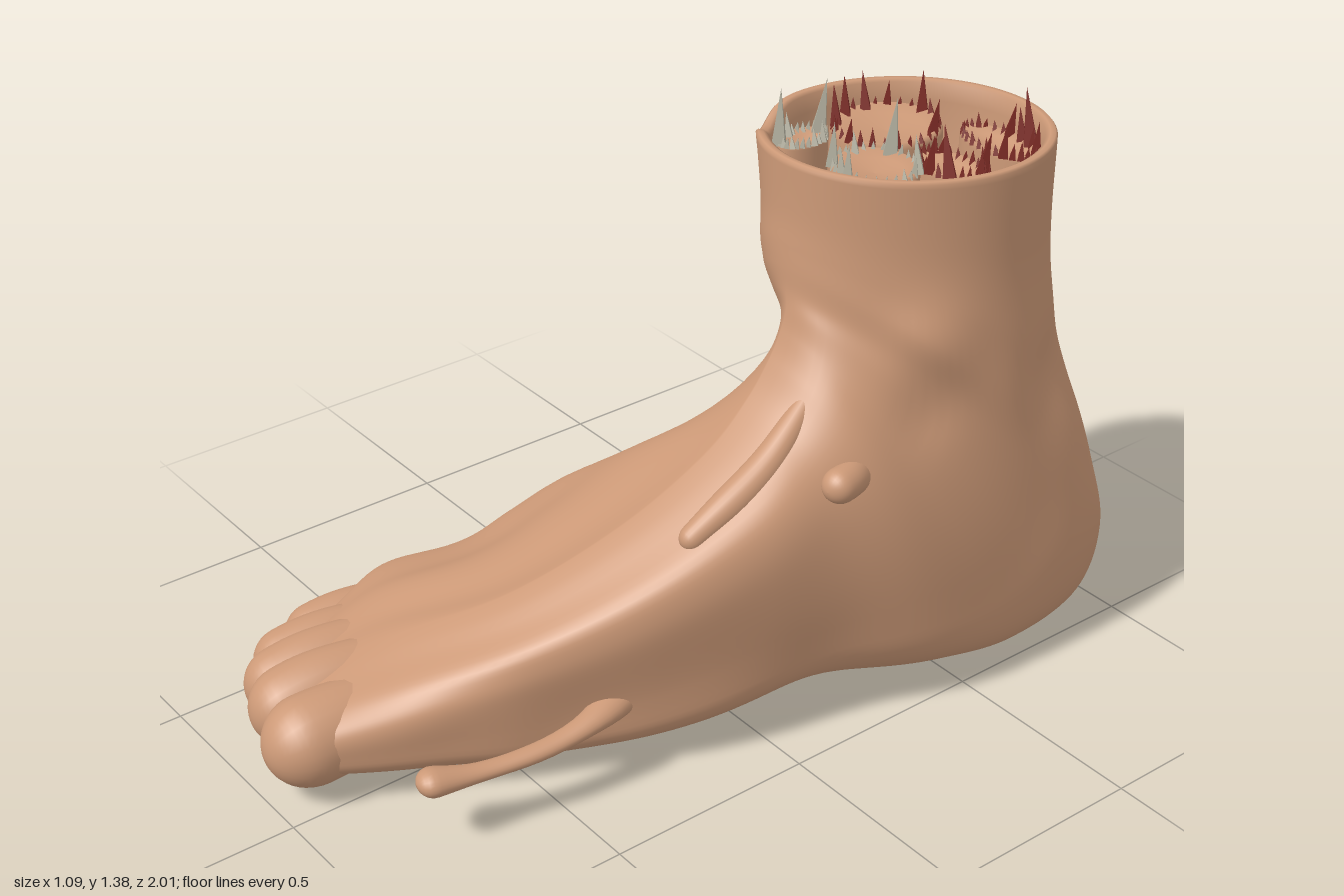
import * as THREE from 'three';
import { mergeGeometries } from 'three/addons/utils/BufferGeometryUtils.js';

const skin = new THREE.MeshStandardMaterial({ color: 0xcc9977 });
const red = new THREE.MeshStandardMaterial({ color: 0x7c2a24 });
const bone = new THREE.MeshStandardMaterial({ color: 0xb8b5a4 });
const V = (x, y, z) => new THREE.Vector3(x, y, z);
const { lerp, smoothstep } = THREE.MathUtils;

// Skin a list of closed rings (equal point counts) with smooth normals
function loft(rings) {
  const n = rings[0].length, pos = [], idx = [];
  rings.forEach((ring) => ring.forEach((p) => pos.push(p.x, p.y, p.z)));
  for (let i = 0; i < rings.length - 1; i++) {
    for (let j = 0; j < n; j++) {
      const a = i * n + j, b = i * n + (j + 1) % n;
      idx.push(a, b, a + n, b, b + n, a + n);
    }
  }
  const geo = new THREE.BufferGeometry();
  geo.setAttribute('position', new THREE.Float32BufferAttribute(pos, 3));
  geo.setIndex(idx);
  geo.computeVertexNormals();
  return geo;
}

// Smooth interpolation through a list of numbers, u in 0..1
function spline(values, u) {
  const n = values.length - 1, f = u * n, i = Math.min(Math.floor(f), n - 1), t = f - i;
  const at = (k) => values[Math.max(0, Math.min(n, k))];
  const [a, b, c, d] = [at(i - 1), at(i), at(i + 1), at(i + 2)];
  return b + 0.5 * t * (c - a + t * (2 * a - 5 * b + 4 * c - d + t * (3 * (b - c) + d - a)));
}

// Round-ended tube of varying radius
function limb(points, radii, flat = 1) {
  const curve = new THREE.CatmullRomCurve3(points.map((p) => V(...p)));
  const steps = 36, sides = 24, length = curve.getLength(), rings = [];
  for (let i = 0; i <= steps; i++) {
    const t = (1 - Math.cos(Math.PI * i / steps)) / 2;
    const c = curve.getPointAt(t), tan = curve.getTangentAt(t);
    const side = V(0, 1, 0).cross(tan).normalize(), up = tan.clone().cross(side);
    let r = spline(radii, t);
    const d = Math.min(t, 1 - t) * length;
    if (d < r) r *= Math.sqrt(Math.max(0, 1 - (1 - d / r) ** 2));
    rings.push(Array.from({ length: sides }, (_, j) => {
      const a = j / sides * Math.PI * 2;
      return c.clone().addScaledVector(side, r * Math.cos(a)).addScaledVector(up, r * flat * Math.sin(a));
    }));
  }
  return loft(rings);
}

// Sections fan from the toes round the heel and up the leg:
// front y, z | back y, z | right x, left x | front x, back x | z skew
const SECTIONS = [
  [0.22, 0.81, 0.07, 0.81, -0.43, -0.03, -0.20, -0.21, 0.72],
  [0.285, 0.60, 0.03, 0.60, -0.53, 0.08, -0.13, -0.22, 0.50],
  [0.395, 0.38, 0.01, 0.38, -0.52, 0.19, 0.03, -0.18, 0.35],
  [0.535, 0.18, 0.02, 0.20, -0.50, 0.32, 0.14, -0.08, 0.20],
  [0.67, 0.02, 0.045, 0.00, -0.44, 0.42, 0.19, 0.02, 0.05],
  [0.77, -0.09, 0.05, -0.22, -0.29, 0.48, 0.19, 0.12, 0],
  [0.85, -0.15, 0.04, -0.45, -0.17, 0.53, 0.19, 0.23, 0],
  [0.91, -0.18, 0.02, -0.68, -0.07, 0.54, 0.19, 0.31, 0],
  [0.96, -0.195, 0.06, -0.91, -0.03, 0.535, 0.19, 0.34, 0],
  [1.00, -0.205, 0.20, -1.00, -0.03, 0.53, 0.18, 0.33, -0.04],
  [1.05, -0.21, 0.40, -0.965, -0.05, 0.52, 0.18, 0.31, -0.08],
  [1.10, -0.215, 0.65, -0.90, -0.07, 0.50, 0.18, 0.27, -0.12],
  [1.17, -0.22, 0.95, -0.845, -0.08, 0.48, 0.18, 0.22, -0.12],
  [1.285, -0.22, 1.285, -0.85, -0.12, 0.48, 0.18, 0.18, -0.12],
];

// Anatomical swellings and hollows: x, y, z, reach, amount
const BUMPS = [
  [0.49, 0.91, -0.36, 0.10, 0.035], [-0.08, 0.60, -0.43, 0.11, 0.06],
  [0.38, 0.14, -0.12, 0.17, -0.035], [0.45, 0.72, -0.76, 0.12, -0.035],
  [0.03, 0.74, -0.74, 0.12, -0.025], [-0.52, 0.12, 0.42, 0.12, 0.015],
  [0.12, 0.15, 0.52, 0.12, 0.02], [0.50, 0.30, -0.80, 0.14, 0.01],
  [0.50, 0.77, -0.35, 0.07, -0.025],
];

function footGeometry() {
  const steps = 120, sides = 96, rings = [];
  const columns = SECTIONS[0].map((_, k) => SECTIONS.map((s) => s[k]));
  const signed = (v, e) => Math.sign(v) * Math.abs(v) ** e;
  for (let i = 0; i <= steps; i++) {
    const u = i / steps;
    const [ay, az, by, bz, xr, xl, xa, xb, skew] = columns.map((c) => spline(c, u));
    // widest line sits low on the foot; the outer instep slopes, the inner one is fuller
    const leg = smoothstep(u, 0.48, 0.78), instep = smoothstep(u, 0.02, 0.2);
    const h = lerp(lerp(0.45, 0.28, instep), 0.5, leg);
    const outer = lerp(lerp(0.85, 1.6, instep), 1, leg);
    const inner = lerp(0.82, 1, leg), under = lerp(0.75, 1, smoothstep(u, 0.45, 0.9));
    const cx = (xl + xr) / 2;
    const centre = V(cx, lerp(by, ay, h), lerp(bz, az, h));
    const tendons = 0.011 * Math.sin(Math.PI * Math.min(1, u / 0.36));
    rings.push(Array.from({ length: sides }, (_, j) => {
      const a = j / sides * Math.PI * 2, ca = Math.cos(a), sa = Math.sin(a);
      const e = ca < 0 ? under : sa < 0 ? outer : inner;
      const c = signed(ca, e), s = signed(sa, e), reach = c > 0 ? 1 - h : h;
      const x = cx + (xl - xr) / 2 * s + ((c > 0 ? xa : xb) - cx) * c * c;
      const p = V(x, centre.y + (ay - by) * reach * c, centre.z + (az - bz) * reach * c + skew * (x - cx));
      const out = p.clone().sub(centre).normalize();
      let push = tendons * Math.cos(a * 11) * Math.max(0, Math.cos(a + 0.4)) ** 2;
      for (const [bx, y, z, r, amount] of BUMPS) {
        push += amount * Math.exp(-p.distanceToSquared(V(bx, y, z)) / (r * r));
      }
      return p.addScaledVector(out, push);
    }));
  }
  // closed toe end
  const mid = V(-0.22, 0.14, 0.82);
  rings.unshift(rings[0].map(() => mid));
  // rolled rim, inner wall and floor of the hollow leg
  const top = rings[rings.length - 1], hub = V(0.18, 1.285, -0.535);
  for (const [k, dy] of [[0.985, 0.006], [0.95, 0.006], [0.92, 0], [0.9, -0.04], [0.88, -0.2], [0.8, -0.23], [0, -0.23]]) {
    rings.push(top.map((p) => V(hub.x + (p.x - hub.x) * k, p.y + dy, hub.z + (p.z - hub.z) * k)));
  }
  // small notch in the rim
  rings.slice(-10).forEach((ring) => ring.forEach((p) => {
    if (p.y > 1.2) p.y -= 0.04 * Math.exp(-((p.x + 0.05) ** 2 + (p.z + 0.35) ** 2) / 0.003);
  }));
  return loft(rings);
}

export function createModel() {
  const model = new THREE.Group();
  const add = (name, geo, mat = skin) => {
    const mesh = new THREE.Mesh(geo, mat);
    mesh.name = name;
    model.add(mesh);
    return mesh;
  };
  add('footAndLeg', footGeometry());

  // Toes: base, knuckle, tip, radius
  const toes = [
    [[-0.04, 0.14, 0.50], [-0.08, 0.15, 0.78], [-0.10, 0.13, 1.00], 0.10],
    [[-0.13, 0.18, 0.46], [-0.20, 0.17, 0.78], [-0.235, 0.12, 0.955], 0.088],
    [[-0.23, 0.17, 0.40], [-0.30, 0.16, 0.74], [-0.335, 0.11, 0.91], 0.08],
    [[-0.31, 0.14, 0.34], [-0.385, 0.14, 0.67], [-0.42, 0.10, 0.84], 0.074],
    [[-0.40, 0.12, 0.28], [-0.46, 0.12, 0.56], [-0.485, 0.09, 0.72], 0.07],
  ];
  toes.forEach(([base, knuckle, tip, r], i) =>
    add('toe' + (i + 1), limb([base, knuckle, tip], [r * 0.7, r * 0.85, r * 0.95, r * 1.04, r])));

  // Loose strand along the inner edge, and the cut ends on the instep and ankle
  add('looseStrand', limb([[0.18, 0.19, 0.20], [0.28, 0.195, 0.38], [0.285, 0.175, 0.52], [0.255, 0.165, 0.68], [0.22, 0.175, 0.82]],
    [0.06, 0.05, 0.03, 0.025, 0.026, 0.045], 0.75));
  add('instepTendon', limb([[0.30, 0.83, -0.20], [0.32, 0.68, -0.03], [0.305, 0.555, 0.18]], [0.02, 0.035, 0.04, 0.028]));
  add('anklePeg', limb([[0.36, 0.63, -0.28], [0.44, 0.66, -0.17], [0.455, 0.66, -0.095]], [0.05, 0.042, 0.04]));

  // Severed stumps inside the leg, each edged with ragged spikes: x, z, rx, rz
  let seed = 7;
  const random = () => (seed = (seed * 16807) % 2147483647) / 2147483647;
  const stumps = [
    [0.10, -0.55, 0.12, 0.13, red], [0.25, -0.38, 0.10, 0.095, bone],
    [0.32, -0.68, 0.11, 0.055, red], [0.35, -0.51, 0.095, 0.055, red],
    [0.04, -0.36, 0.04, 0.065, bone],
  ];
  const profile = [[1, 1.05], [1, 1.255], [0.92, 1.27], [0.7, 1.255], [0, 1.25]].map((p) => new THREE.Vector2(...p));
  stumps.forEach(([x, z, rx, rz, mat], i) => {
    const stump = add('stump' + (i + 1), new THREE.LatheGeometry(profile, 32));
    stump.scale.set(rx, 1, rz);
    stump.position.set(x, 0, z);
    const spikes = Array.from({ length: 26 }, (_, k) => {
      const a = k / 26 * Math.PI * 2, h = 0.025 + 0.11 * random() ** 6;
      return new THREE.ConeGeometry(0.006 + h * 0.12, h, 4)
        .rotateZ((random() - 0.5) * 0.4)
        .translate(x + rx * 0.92 * Math.cos(a), 1.26 + h / 2, z + rz * 0.92 * Math.sin(a)).toNonIndexed();
    });
    const geo = mergeGeometries(spikes);
    geo.computeVertexNormals();
    add('raggedEdge' + (i + 1), geo, mat);
  });
  return model;
}
